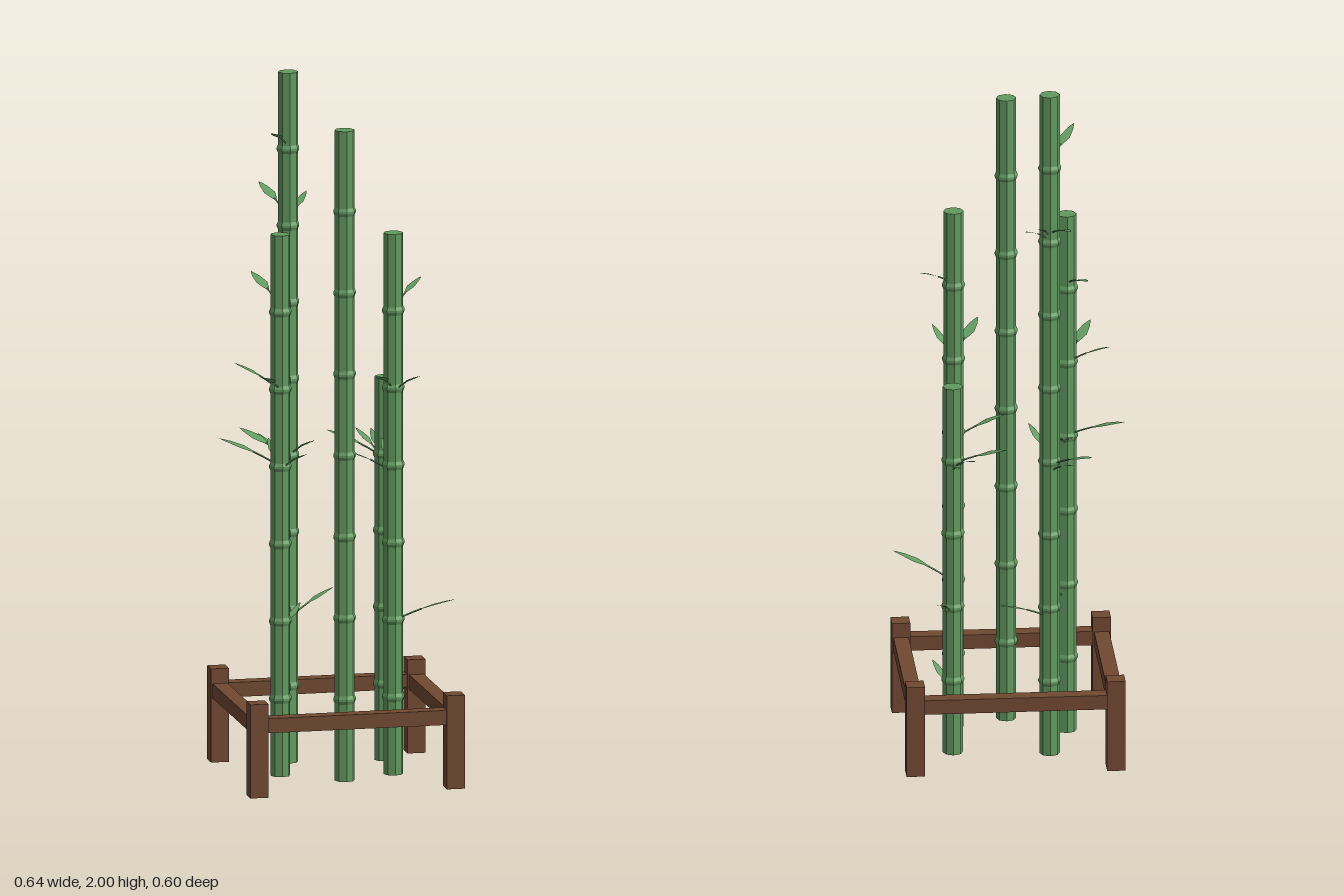
import * as THREE from 'three';

const bambooGreen = new THREE.MeshStandardMaterial({ color: 0x629a60, flatShading: true });
bambooGreen.name = 'bambooGreen';
const leafGreen = new THREE.MeshStandardMaterial({ color: 0x629c62, side: THREE.DoubleSide, flatShading: true });
leafGreen.name = 'leafGreen';
const woodBrown = new THREE.MeshStandardMaterial({ color: 0x704832 });
woodBrown.name = 'woodBrown';

// Each stalk: position, top, number of segments, leaves as [tip x, tip z, tip y, blade width]
const STALKS = [
  { x: -0.1, z: -0.127, top: 2.0, segments: 9, leaves: [
    [-0.21, -0.264, 0.95, 0.042], [-0.146, -0.3, 1.65, 0.034], [-0.155, -0.27, 0.93, 0.02],
    [-0.058, -0.252, 1.64, 0.022], [-0.02, -0.241, 1.63, 0.024], [0.051, -0.209, 0.49, 0.022],
    [-0.05, 0, 0.96, 0.022], [-0.181, 0.02, 1.855, 0.03]] },
  { x: 0.172, z: -0.098, top: 1.115, segments: 5, leaves: [
    [0.024, -0.184, 0.95, 0.042], [0.12, -0.241, 0.94, 0.022], [0.172, -0.271, 0.93, 0.026],
    [0.226, -0.218, 0.5, 0.026], [0.22, 0.021, 0.245, 0.022]] },
  { x: -0.162, z: 0.05, top: 1.57, segments: 7, leaves: [
    [-0.32, -0.043, 0.97, 0.036], [-0.281, -0.02, 1.19, 0.024], [-0.208, -0.125, 1.43, 0.034],
    [-0.162, -0.107, 0.95, 0.024], [-0.121, -0.075, 0.94, 0.02], [-0.076, -0.071, 0.48, 0.022],
    [-0.11, 0.179, 0.96, 0.022], [-0.242, 0.2, 1.19, 0.034]] },
  { x: 0.154, z: 0.098, top: 1.57, segments: 7, leaves: [
    [0.006, 0.102, 0.95, 0.03], [0.151, -0.041, 0.95, 0.024], [0.256, 0.005, 1.42, 0.024],
    [0.32, 0.171, 0.52, 0.03], [0.204, 0.225, 1.18, 0.022], [0.072, 0.248, 1.19, 0.034]] },
  { x: 0, z: 0.156, top: 1.885, segments: 8, leaves: [] },
];

const BASE = 0.01;

// Eight-sided cane with a slight flare at every node
function stalkGeometry(top, segments) {
  const r = 0.0285, step = (top - BASE) / segments;
  const points = [new THREE.Vector2(0, BASE), new THREE.Vector2(r, BASE)];
  for (let i = 1; i < segments; i++) {
    const y = BASE + i * step;
    points.push(new THREE.Vector2(r, y - 0.012), new THREE.Vector2(r + 0.004, y - 0.003),
      new THREE.Vector2(r + 0.004, y + 0.003), new THREE.Vector2(r, y + 0.012));
  }
  points.push(new THREE.Vector2(r, top), new THREE.Vector2(0, top));
  return new THREE.LatheGeometry(points, 8);
}

// Blade ribbon: cross-sections swept along the upper part of the leaf curve
function bladeGeometry(curve, width) {
  const sections = [[0.4, 0.12], [0.48, 0.5], [0.62, 1], [0.82, 0.68], [0.94, 0.28], [1, 0]];
  const positions = [], index = [];
  const tangent = curve.getTangent(0.5);
  const side = new THREE.Vector3(-tangent.z, 0, tangent.x).normalize();
  sections.forEach(([t, w], i) => {
    const p = curve.getPoint(t);
    for (const s of [1, -1]) {
      const k = s * w * width / 2;
      positions.push(p.x + side.x * k, p.y, p.z + side.z * k);
    }
    if (i < sections.length - 1) {
      const a = i * 2;
      index.push(a, a + 1, a + 2, a + 1, a + 3, a + 2);
    }
  });
  const g = new THREE.BufferGeometry();
  g.setAttribute('position', new THREE.Float32BufferAttribute(positions, 3));
  g.setIndex(index);
  g.computeVertexNormals();
  return g;
}

function createLeaf(stalk, [x, z, y, width]) {
  const leaf = new THREE.Group();
  leaf.name = 'leaf';
  // Rises from the stalk, then levels out towards the tip
  const curve = new THREE.QuadraticBezierCurve3(
    new THREE.Vector3(stalk.x, y - 0.07, stalk.z),
    new THREE.Vector3((stalk.x + x) / 2, y - 0.02, (stalk.z + z) / 2),
    new THREE.Vector3(x, y, z));
  const stemCurve = new THREE.QuadraticBezierCurve3(
    curve.v0, curve.v0.clone().lerp(curve.v1, 0.45), curve.getPoint(0.45));
  const stem = new THREE.Mesh(new THREE.TubeGeometry(stemCurve, 3, 0.0025, 4), leafGreen);
  stem.name = 'leafStem';
  const blade = new THREE.Mesh(bladeGeometry(curve, width), leafGreen);
  blade.name = 'leafBlade';
  leaf.add(stem, blade);
  return leaf;
}

// Square wooden support: corner posts joined by four rails
function createFrame() {
  const frame = new THREE.Group();
  frame.name = 'frame';
  const box = (name, w, h, d, x, y, z) => {
    const m = new THREE.Mesh(new THREE.BoxGeometry(w, h, d), woodBrown);
    m.name = name;
    m.position.set(x, y, z);
    frame.add(m);
  };
  const xs = [-0.278, 0.29], zs = [-0.233, 0.272];
  for (const x of xs) for (const z of zs) box('post', 0.052, 0.27, 0.052, x, 0.135, z);
  for (const z of zs) box('crossRail', 0.568, 0.042, 0.043, 0.006, 0.206, z);
  for (const x of xs) box('sideRail', 0.043, 0.042, 0.505, x, 0.206, 0.0195);
  return frame;
}

export function createModel() {
  const model = new THREE.Group();
  model.name = 'bambooPlanter';
  model.add(createFrame());
  for (const s of STALKS) {
    const plant = new THREE.Group();
    plant.name = 'bamboo';
    const stalk = new THREE.Mesh(stalkGeometry(s.top, s.segments), bambooGreen);
    stalk.name = 'stalk';
    stalk.position.set(s.x, 0, s.z);
    plant.add(stalk);
    for (const l of s.leaves) plant.add(createLeaf(s, l));
    model.add(plant);
  }
  return model;
}
